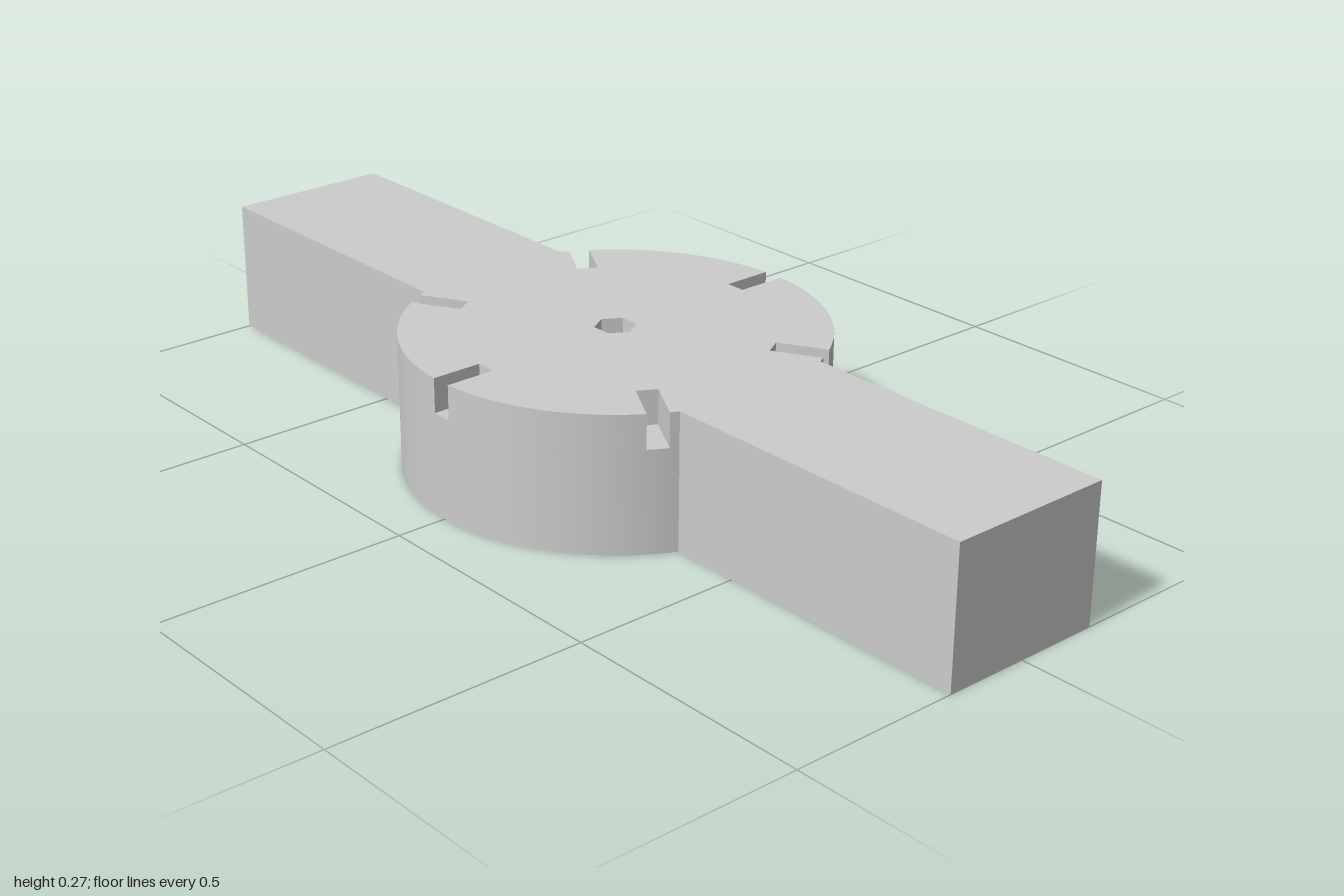
import * as THREE from 'three';
import { toCreasedNormals } from 'three/addons/utils/BufferGeometryUtils.js';

const RADIUS = 0.4, ARM_HALF = 0.1667, HEIGHT = 0.2667;
const SLOT_FLOOR = 0.2, SLOT_INNER = 0.3, SLOT_HALF = 0.02;

// Disc with two arms, seen from above; the rim slots are cut in when slotted
function outline(slotted) {
  const points = [];
  const armAngle = Math.asin(ARM_HALF / RADIUS);
  const slotAngle = Math.asin(SLOT_HALF / RADIUS);

  for (const turn of [0, Math.PI]) {
    const c = Math.cos(turn), s = Math.sin(turn);
    const add = (x, y) => points.push(new THREE.Vector2(x * c - y * s, x * s + y * c));
    const arc = (from, to, steps) => {
      for (let i = 0; i <= steps; i++) {
        const a = from + (to - from) * i / steps;
        add(RADIUS * Math.cos(a), RADIUS * Math.sin(a));
      }
    };
    // arm end
    add(1, -ARM_HALF);
    add(1, ARM_HALF);
    // half of the rim with three slots
    let start = armAngle;
    for (const degrees of [30, 90, 150]) {
      const a = THREE.MathUtils.degToRad(degrees);
      arc(start, a - slotAngle, degrees === 30 ? 1 : 18);
      if (slotted) {
        for (const side of [-SLOT_HALF, SLOT_HALF]) {
          add(SLOT_INNER * Math.cos(a) - side * Math.sin(a),
              SLOT_INNER * Math.sin(a) + side * Math.cos(a));
        }
      } else {
        add(RADIUS * Math.cos(a), RADIUS * Math.sin(a));
      }
      start = a + slotAngle;
    }
    arc(start, Math.PI - armAngle, 1);
  }

  // hexagonal bore
  const shape = new THREE.Shape(points);
  const bore = [];
  for (let i = 0; i < 6; i++) {
    const a = -i * Math.PI / 3;
    bore.push(new THREE.Vector2(0.04 * Math.cos(a), 0.04 * Math.sin(a)));
  }
  shape.holes.push(new THREE.Path(bore));
  return shape;
}

export function createModel() {
  const group = new THREE.Group();
  group.name = 'slottedHubWithArms';
  const grey = new THREE.MeshStandardMaterial({ color: 0xcccccc });
  grey.name = 'grey';

  const addLayer = (name, slotted, bottom, top) => {
    const geometry = new THREE.ExtrudeGeometry(outline(slotted), { depth: top - bottom, bevelEnabled: false });
    geometry.rotateX(-Math.PI / 2).translate(0, bottom, 0);
    const mesh = new THREE.Mesh(toCreasedNormals(geometry, 0.5), grey);
    mesh.name = name;
    group.add(mesh);
  };
  addLayer('lowerBody', false, 0, SLOT_FLOOR);
  addLayer('slottedUpperBody', true, SLOT_FLOOR, HEIGHT);
  return group;
}
